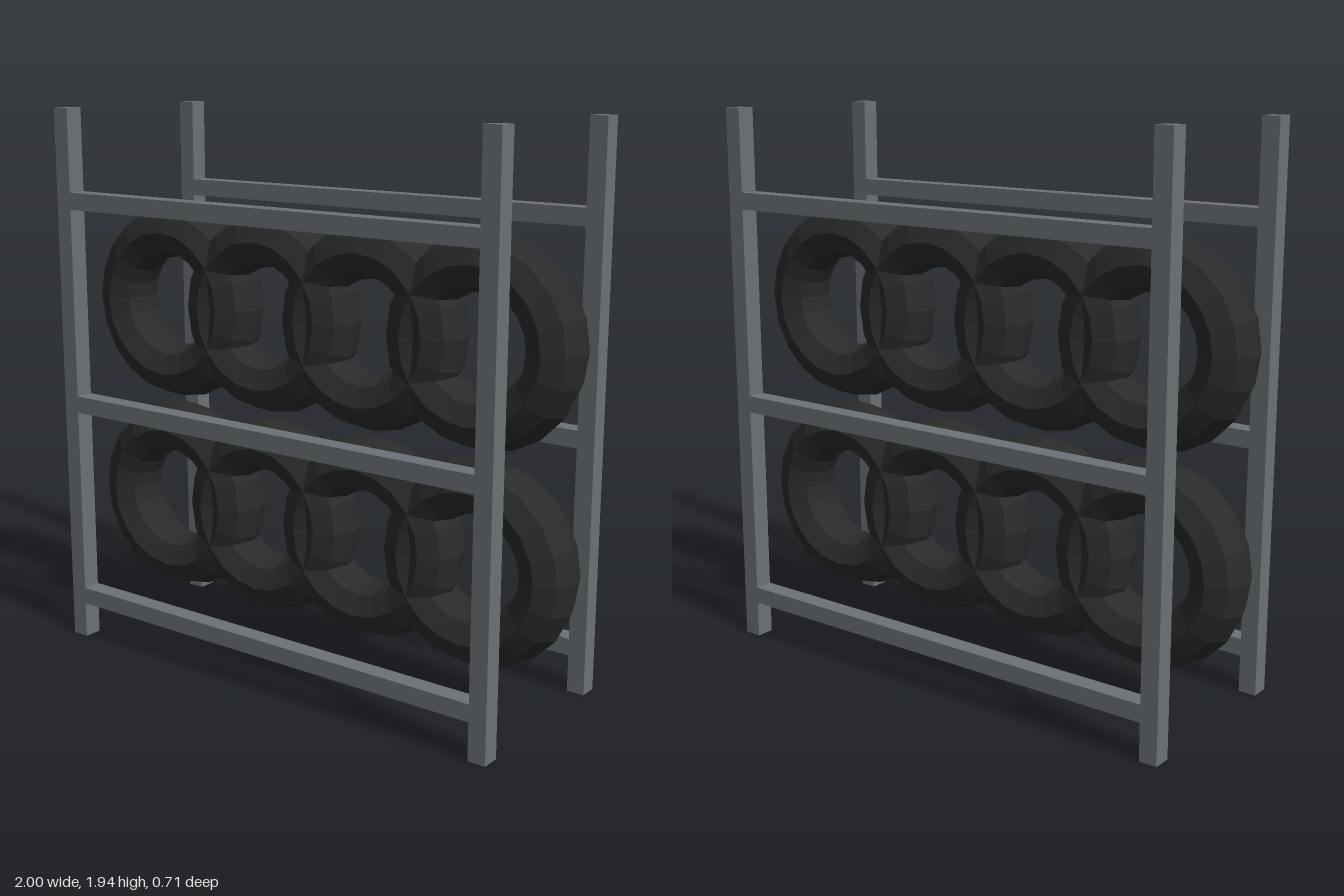
import * as THREE from 'three';

export function createModel() {
  const model = new THREE.Group();
  model.name = 'tireRack';
  const steel = new THREE.MeshStandardMaterial({ color: 0x6b7275, flatShading: true });
  const rubber = new THREE.MeshStandardMaterial({ color: 0x2a2c2b, flatShading: true });

  const add = (name, geometry, material, x, y, z) => {
    const mesh = new THREE.Mesh(geometry, material);
    mesh.name = name;
    mesh.position.set(x, y, z);
    model.add(mesh);
  };

  // Front and back frames: two posts joined by three rails
  const postX = 0.863, postWidth = 0.063, postHeight = 1.94, frameZ = 0.323;
  const post = new THREE.BoxGeometry(postWidth, postHeight, 0.066);
  const rail = new THREE.BoxGeometry(2 * postX - postWidth, 0.06, 0.066);
  for (const [end, z] of [['front', frameZ], ['back', -frameZ]]) {
    add(end + 'LeftPost', post, steel, postX, postHeight / 2, z);
    add(end + 'RightPost', post, steel, -postX, postHeight / 2, z);
    ['Lower', 'Middle', 'Upper'].forEach((level, i) => {
      add(end + level + 'Rail', rail, steel, 0, 0.16 + i * 0.73, z);
    });
  }

  // Two rows of four overlapping tires, slightly wider than a round section
  const tire = new THREE.TorusGeometry(0.2585, 0.0965, 8, 20);
  tire.scale(1, 1, 1.13);
  ['lower', 'upper'].forEach((row, j) => {
    for (let i = 0; i < 4; i++) {
      add(row + 'Tire' + (i + 1), tire, rubber, (i - 1.5) * 0.43, 0.51 + j * 0.73, 0);
    }
  });

  return model;
}
